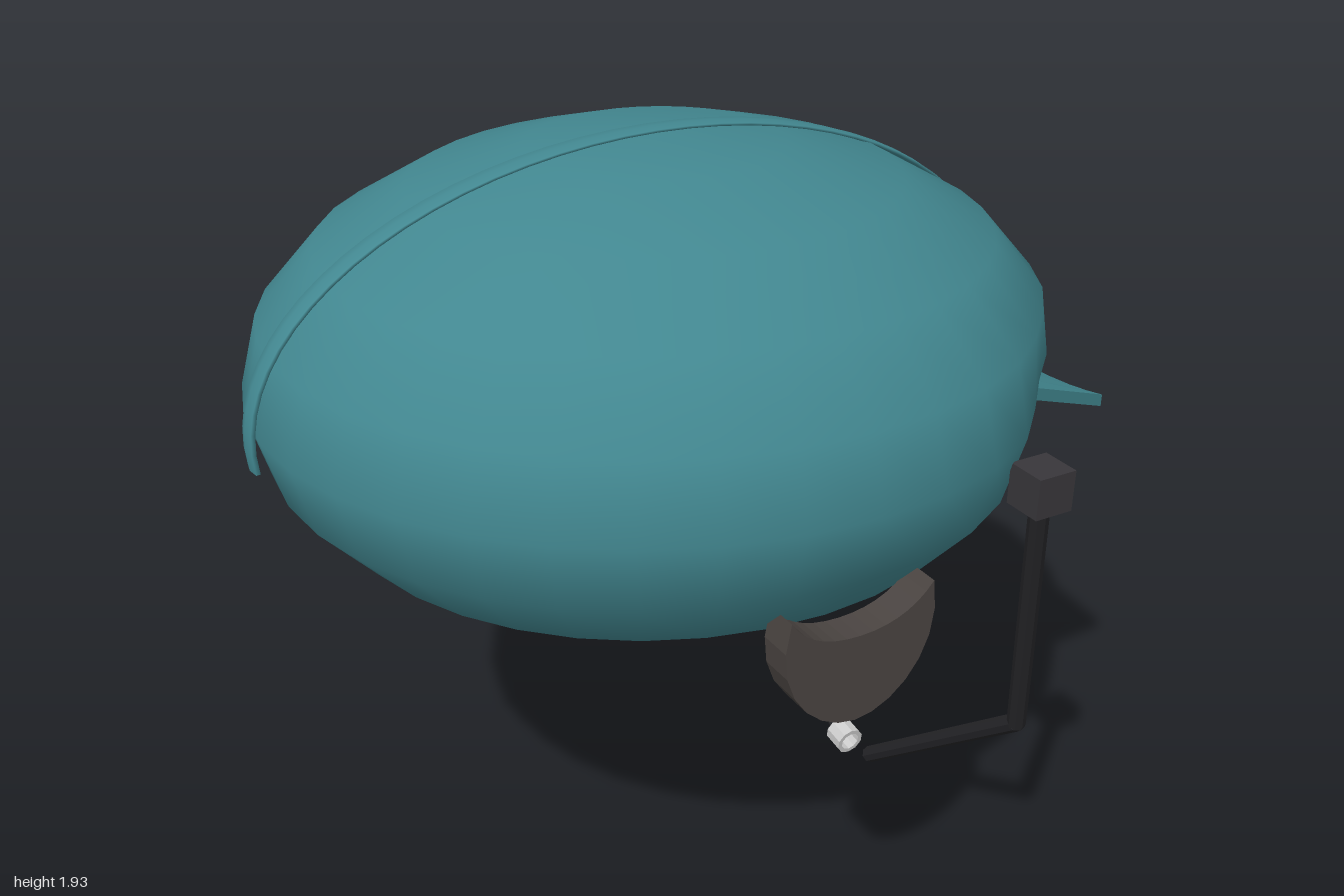
import * as THREE from 'three';
import { mergeVertices } from 'three/addons/utils/BufferGeometryUtils.js';

const V = (x, y, z) => new THREE.Vector3(x, y, z);
const mat = (color, extra = {}) => new THREE.MeshStandardMaterial({ color, ...extra });
const teal = mat(0x428790, { side: THREE.DoubleSide });
const tealFlat = mat(0x428790, { flatShading: true });
const padMat = mat(0x4a4441, { flatShading: true });
const strapMat = mat(0x252528, { flatShading: true });
const blockMat = mat(0x38363a, { flatShading: true });
const metal = mat(0xcccccc, { flatShading: true });

// Keeps the part of a geometry where side(p) >= 0
function clip(geometry, side) {
  const p = geometry.toNonIndexed().attributes.position;
  const out = [];
  for (let i = 0; i < p.count; i += 3) {
    const tri = [0, 1, 2].map(k => new THREE.Vector3().fromBufferAttribute(p, i + k));
    const poly = [];
    tri.forEach((a, k) => {
      const b = tri[(k + 1) % 3], da = side(a), db = side(b);
      if (da >= 0) poly.push(a);
      if (da * db < 0) poly.push(a.clone().lerp(b, da / (da - db)));
    });
    for (let k = 1; k + 1 < poly.length; k++) {
      for (const v of [poly[0], poly[k], poly[k + 1]]) out.push(v.x, v.y, v.z);
    }
  }
  const g = new THREE.BufferGeometry();
  g.setAttribute('position', new THREE.Float32BufferAttribute(out, 3));
  const merged = mergeVertices(g, 1e-4);
  merged.computeVertexNormals();
  return merged;
}

// Joins equal cross-sections (each a closed ring of points) into a skin
function loft(sections, closed) {
  const n = sections[0].length, m = sections.length, index = [];
  for (let i = 0; i < (closed ? m : m - 1); i++) {
    for (let j = 0; j < n; j++) {
      const a = i * n + j, b = i * n + (j + 1) % n;
      const c = ((i + 1) % m) * n + j, d = ((i + 1) % m) * n + (j + 1) % n;
      index.push(a, b, d, a, d, c);
    }
  }
  if (!closed) {
    const e = (m - 1) * n;
    for (let j = 1; j + 1 < n; j++) index.push(0, j + 1, j, e, e + j, e + j + 1);
  }
  const g = new THREE.BufferGeometry().setFromPoints(sections.flat());
  g.setIndex(index);
  g.computeVertexNormals();
  return g;
}

// Closed padding band from half a loop, mirrored in z
function padBand(half, height, thickness) {
  const mirrored = half.slice().reverse().filter(p => p[2] > 0).map(([x, y, z]) => [x, y, -z]);
  const pts = [...half, ...mirrored].map(p => V(...p));
  const up = V(-0.45, 0.89, 0).normalize().multiplyScalar(height);
  const sections = pts.map((p, i) => {
    const dir = pts[(i + 1) % pts.length].clone().sub(pts[(i + pts.length - 1) % pts.length]);
    const inward = dir.cross(up).normalize().multiplyScalar(thickness);
    const q = p.clone().add(inward);
    return [p, p.clone().add(up), q.clone().add(up), q];
  });
  return loft(sections, true);
}

function rod(a, b, radius) {
  const g = new THREE.CylinderGeometry(radius, radius, a.distanceTo(b), 8);
  const mesh = new THREE.Mesh(g, strapMat);
  mesh.position.copy(a).add(b).multiplyScalar(0.5);
  mesh.quaternion.setFromUnitVectors(V(0, 1, 0), b.clone().sub(a).normalize());
  return mesh;
}

export function createModel() {
  const root = new THREE.Group();
  const add = (name, geometry, material, parent = root) => {
    const mesh = new THREE.Mesh(geometry, material);
    mesh.name = name;
    parent.add(mesh);
    return mesh;
  };

  // Shell: ellipsoid, flattened beside the face, with a slanted opening below
  const ball = new THREE.SphereGeometry(1, 36, 10);
  const pos = ball.attributes.position;
  for (let i = 0; i < pos.count; i++) {
    const x = pos.getX(i), y = pos.getY(i), z = pos.getZ(i);
    const az = THREE.MathUtils.radToDeg(Math.atan2(Math.abs(z), x));
    const low = 1 - THREE.MathUtils.smoothstep(y, 0, 0.5);
    const k = 1 - 0.06 * low * Math.exp(-(((az - 43) / 15) ** 2));
    pos.setXYZ(i, x * k * 0.945 - 0.025, y * 0.53 + 1.39, z * k * 0.9);
  }
  add('shell', clip(ball, p => p.y - 0.8 - 0.5 * p.x), teal);

  // Ridge over the crown
  const ridge = new THREE.TorusGeometry(0.99, 0.01, 6, 40, Math.PI + 0.18);
  ridge.rotateZ(-0.09).scale(0.965, 0.55, 3.4).translate(-0.035, 1.38, 0);
  add('crownRidge', ridge, teal);

  // Brim
  const brim = [];
  for (let i = 0; i <= 12; i++) {
    const t = 1 - i / 6, s = t * t;
    const inner = V(0.89 - 0.25 * s, 1.265 + 0.115 * s, 0.56 * t);
    const outer = V(1 - 0.09 * s, 1.185 + 0.09 * s, 0.49 * t);
    const drop = V(0, -0.03, 0);
    brim.push([inner, inner.clone().add(drop), outer.clone().add(drop), outer]);
  }
  const brimMesh = add('brim', loft(brim, false), tealFlat);
  brimMesh.material.side = THREE.DoubleSide;

  // Padding around the opening and inside the shell
  padMat.side = THREE.DoubleSide;
  add('rimPad', padBand([
    [0.92, 1.2, 0], [0.84, 1.17, 0.24], [0.62, 1.05, 0.39], [0.36, 0.92, 0.43],
    [0.12, 0.8, 0.22], [-0.18, 0.8, 0.08], [-0.46, 0.85, 0.07], [-0.46, 0.85, 0],
  ], 0.07, 0.03), padMat);
  add('innerPad', padBand([
    [0.82, 1.22, 0], [0.7, 1.18, 0.27], [0.45, 1.08, 0.32], [0.2, 0.98, 0.24],
    [0.02, 0.94, 0.07], [-0.22, 0.93, 0.06], [-0.25, 0.94, 0],
  ], 0.12, 0.025), padMat);

  // Ear pads: crescent plates
  const ear = new THREE.Shape();
  ear.moveTo(-0.17, 1.15);
  ear.bezierCurveTo(-0.22, 0.98, -0.1, 0.86, 0, 0.86);
  ear.bezierCurveTo(0.1, 0.86, 0.22, 0.98, 0.18, 1.15);
  ear.quadraticCurveTo(0.12, 1.07, 0, 1.07);
  ear.quadraticCurveTo(-0.12, 1.07, -0.17, 1.15);
  const earGeo = new THREE.ExtrudeGeometry(ear, { depth: 0.08, bevelEnabled: false, curveSegments: 7 });

  // Ear pads, strap blocks and chin straps on both sides
  for (const [s, label] of [[1, 'front'], [-1, 'back']]) {
    add(label + 'EarPad', earGeo, padMat).position.z = s > 0 ? 0.74 : -0.82;
    add(label + 'StrapBlock', new THREE.BoxGeometry(0.095, 0.095, 0.095), blockMat)
      .position.set(0.445, 1.3, s * 0.818);
    const strap = new THREE.Group();
    strap.name = label + 'ChinStrap';
    const top = V(0.45, 1.27, s * 0.815), knee = V(0.595, 0.55, s * 0.67), end = V(0.615, 0.06, s * 0.08);
    strap.add(rod(top, knee, 0.023), rod(knee, end, 0.023));
    const joint = add(label + 'StrapBend', new THREE.SphereGeometry(0.023, 8, 6), strapMat, strap);
    joint.position.copy(knee);
    root.add(strap);
  }

  // Buckle: hollow metal sleeve on one strap end
  const ring = [[0.028, -0.03], [0.041, -0.03], [0.041, 0.03], [0.028, 0.03], [0.028, -0.03]]
    .map(([r, h]) => new THREE.Vector2(r, h));
  const buckle = add('buckle', new THREE.LatheGeometry(ring, 10), metal);
  buckle.rotation.x = Math.PI / 2 + 0.15;
  buckle.position.set(0.615, 0.047, -0.045);

  return root;
}
